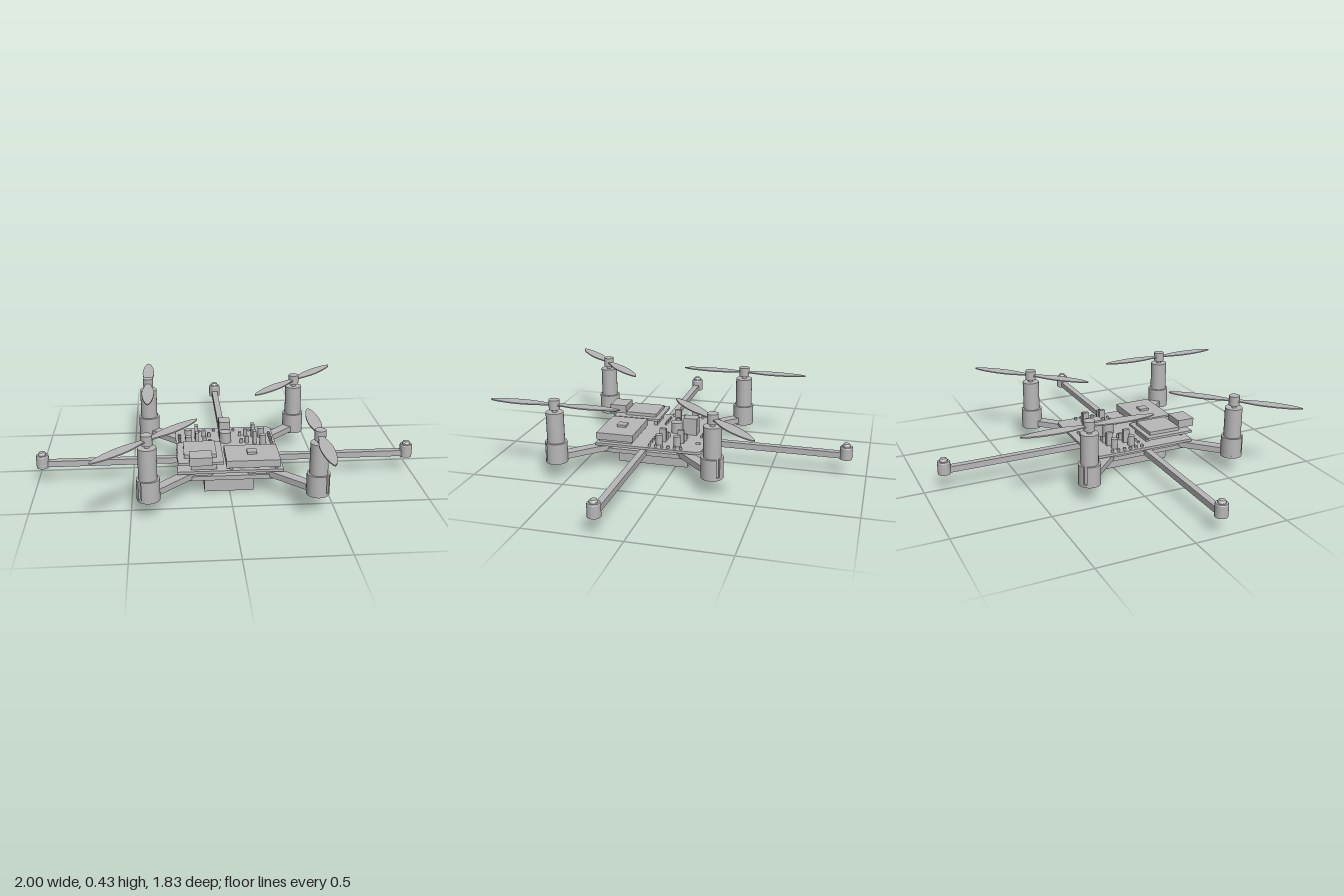
import * as THREE from 'three';

const grey = new THREE.MeshStandardMaterial({ color: 0xb8b8b8 });
grey.name = 'grey plastic';

export function createModel() {
  const model = new THREE.Group();
  model.name = 'quadcopter';
  const CZ = 0.148; // middle of the frame

  const add = (name, geo, parent = model) => {
    const m = new THREE.Mesh(geo, grey);
    m.name = name;
    parent.add(m);
    return m;
  };
  // Box given by its limits on each axis
  const box = (name, x0, x1, y0, y1, z0, z1, parent) => {
    const m = add(name, new THREE.BoxGeometry(x1 - x0, y1 - y0, z1 - z0), parent);
    m.position.set((x0 + x1) / 2, (y0 + y1) / 2, (z0 + z1) / 2);
    return m;
  };
  const cyl = (name, x, z, r, y0, y1, parent, seg = 32) => {
    const m = add(name, new THREE.CylinderGeometry(r, r, y1 - y0, seg), parent);
    m.position.set(x, (y0 + y1) / 2, z);
    return m;
  };
  // Flat shape (x, -z) raised from y0 to y1
  const slab = (name, shape, y0, y1, parent) => {
    const g = new THREE.ExtrudeGeometry(shape, { depth: y1 - y0, bevelEnabled: false, curveSegments: 24 });
    g.rotateX(-Math.PI / 2);
    g.translate(0, y0, 0);
    return add(name, g, parent);
  };
  const hole = (x, y, r) => new THREE.Path().absarc(x, y, r, 0, Math.PI * 2, true);
  const ring = (outer, inner) => {
    const s = new THREE.Shape().absarc(0, 0, outer, 0, Math.PI * 2, false);
    s.holes.push(hole(0, 0, inner));
    return s;
  };

  // Battery and lower frame plate
  box('battery', -0.13, 0.125, 0, 0.092, -0.065, 0.32);
  box('framePlate', -0.235, 0.235, 0.092, 0.115, CZ - 0.235, CZ + 0.235);

  // Landing arms with capped feet
  const foot = [[0.014, 0.1], [0.014, 0.09], [0.033, 0.09], [0.033, 0.152], [0.03, 0.158],
    [0.021, 0.158], [0.021, 0.165], [0.015, 0.174], [0, 0.177]].map(p => new THREE.Vector2(...p));
  const landing = (angle, len) => {
    const g = new THREE.Group();
    g.name = 'landingArm';
    g.position.z = CZ;
    g.rotation.y = angle;
    model.add(g);
    box('armBeam', 0.1, len - 0.025, 0.094, 0.126, -0.017, 0.017, g);
    const lathe = new THREE.LatheGeometry(foot, 24).toNonIndexed();
    lathe.computeVertexNormals();
    const f = add('foot', lathe, g);
    f.position.x = len;
    cyl('footCore', len, 0, 0.014, 0.1, 0.15, g, 16);
  };
  landing(0, 0.967);
  landing(Math.PI, 0.967);
  landing(Math.PI / 2, 1.037);

  // Motor holder outline: a ring with a slot facing outward (+x)
  const clip = new THREE.Shape();
  clip.absarc(0, 0, 0.057, 0.16, Math.PI * 2 - 0.16, false);
  clip.absarc(0, 0, 0.045, Math.PI * 2 - 0.2, 0.2, true);
  clip.closePath();

  // Two-bladed propeller outline along x
  const blade = new THREE.Shape();
  blade.moveTo(0, 0.013);
  for (const s of [1, -1]) {
    blade.bezierCurveTo(s * 0.06, s * 0.013, s * 0.09, s * 0.032, s * 0.17, s * 0.033);
    blade.bezierCurveTo(s * 0.24, s * 0.033, s * 0.335, s * 0.02, s * 0.352, 0);
    blade.bezierCurveTo(s * 0.335, s * -0.02, s * 0.24, s * -0.033, s * 0.17, s * -0.033);
    blade.bezierCurveTo(s * 0.09, s * -0.032, s * 0.06, s * -0.013, 0, s * -0.013);
    if (s === 1) blade.lineTo(0, -0.013);
  }
  // Simplified second half: mirror the sampled first half
  const half = blade.getPoints(12).filter(p => p.x > 0.001);
  const bladeShape = new THREE.Shape([...half, ...half.map(p => new THREE.Vector2(-p.x, -p.y))]);

  // Four rotors on diagonal arms
  for (const sx of [1, -1]) for (const sz of [1, -1]) {
    const g = new THREE.Group();
    g.name = 'rotor';
    g.position.z = CZ;
    g.rotation.y = Math.atan2(-sz, sx);
    model.add(g);
    const R = 0.583;
    box('motorArm', 0.18, R - 0.05, 0.1, 0.132, -0.027, 0.027, g);
    slab('motorHolder', clip, 0.1, 0.2, g).position.x = R;
    slab('holderBase', ring(0.057, 0.025), 0.09, 0.104, g).position.x = R;
    cyl('motor', R, 0, 0.0455, 0.104, 0.36, g);
    cyl('motorShaft', R, 0, 0.013, 0.36, 0.38, g, 16);
    cyl('propellerHub', R, 0, 0.028, 0.374, 0.425, g, 24);
    const p = slab('propeller', bladeShape, 0.395, 0.401, g);
    p.position.x = R;
    // One diagonal pair points outward, the other lies along z
    p.rotation.y = sx === -sz ? 0 : Math.PI / 2 - g.rotation.y;
  }

  // Main circuit board with rounded back corners and two screw holes
  const pcb = new THREE.Shape();
  pcb.moveTo(-0.268, -0.402);
  pcb.lineTo(0.268, -0.402);
  pcb.lineTo(0.268, 0.135);
  pcb.quadraticCurveTo(0.262, 0.17, 0.235, 0.17);
  pcb.lineTo(-0.235, 0.17);
  pcb.quadraticCurveTo(-0.262, 0.17, -0.268, 0.135);
  pcb.closePath();
  for (const s of [1, -1]) pcb.holes.push(hole(s * 0.142, 0.127, 0.014));
  slab('circuitBoard', pcb, 0.138, 0.152);
  for (const sx of [1, -1]) for (const z of [-0.04, 0.33])
    box('spacer', sx * 0.14 - 0.05, sx * 0.14 + 0.05, 0.115, 0.138, z - 0.04, z + 0.04);

  // Control module with raised socket
  box('moduleSupport', -0.2, -0.07, 0.152, 0.19, 0.16, 0.175);
  box('moduleSupport', -0.2, -0.07, 0.152, 0.19, 0.365, 0.38);
  box('controlModule', -0.265, -0.035, 0.187, 0.2, 0.14, 0.402);
  box('moduleCover', -0.233, -0.068, 0.2, 0.218, 0.165, 0.342);
  box('socket', -0.208, -0.095, 0.2, 0.243, 0.35, 0.443);

  // Sensor module with small chip
  for (const x of [-0.005, 0.225]) box('sensorSupport', x, x + 0.015, 0.152, 0.185, 0.21, 0.39);
  box('sensorModule', -0.022, 0.252, 0.165, 0.203, 0.2, 0.402);
  box('sensorChip', 0.09, 0.14, 0.203, 0.215, 0.275, 0.325);

  // Central components
  box('largeComponent', -0.03, 0.03, 0.152, 0.245, -0.092, -0.018);
  cyl('centralCapacitor', 0, 0.027, 0.031, 0.152, 0.21);

  // Mirrored capacitors, chips and pins
  for (const s of [1, -1]) {
    for (const z of [-0.028, 0.07]) {
      cyl('capacitor', s * 0.2, z, 0.018, 0.152, 0.205, model, 20);
      cyl('smallCapacitor', s * 0.115, z - 0.02, 0.011, 0.152, 0.19, model, 14);
      box('chip', s * 0.155 - 0.009, s * 0.155 + 0.009, 0.152, 0.225, z - 0.027, z + 0.007);
      cyl('terminal', s * 0.085, z - 0.02, 0.009, 0.152, 0.175, model, 12);
    }
    for (let i = 0; i < 6; i++)
      cyl('edgePin', s * 0.247, -0.06 + i * 0.034, 0.008, 0.152, 0.165, model, 10);
    for (let i = 0; i < 4; i++)
      cyl('rowPin', s * (0.09 + i * 0.035), 0.115, 0.007, 0.152, 0.163, model, 10);
    for (let i = 0; i < 2; i++)
      cyl('backPin', s * (0.02 + i * 0.035), -0.125, 0.007, 0.152, 0.163, model, 10);
  }
  return model;
}
